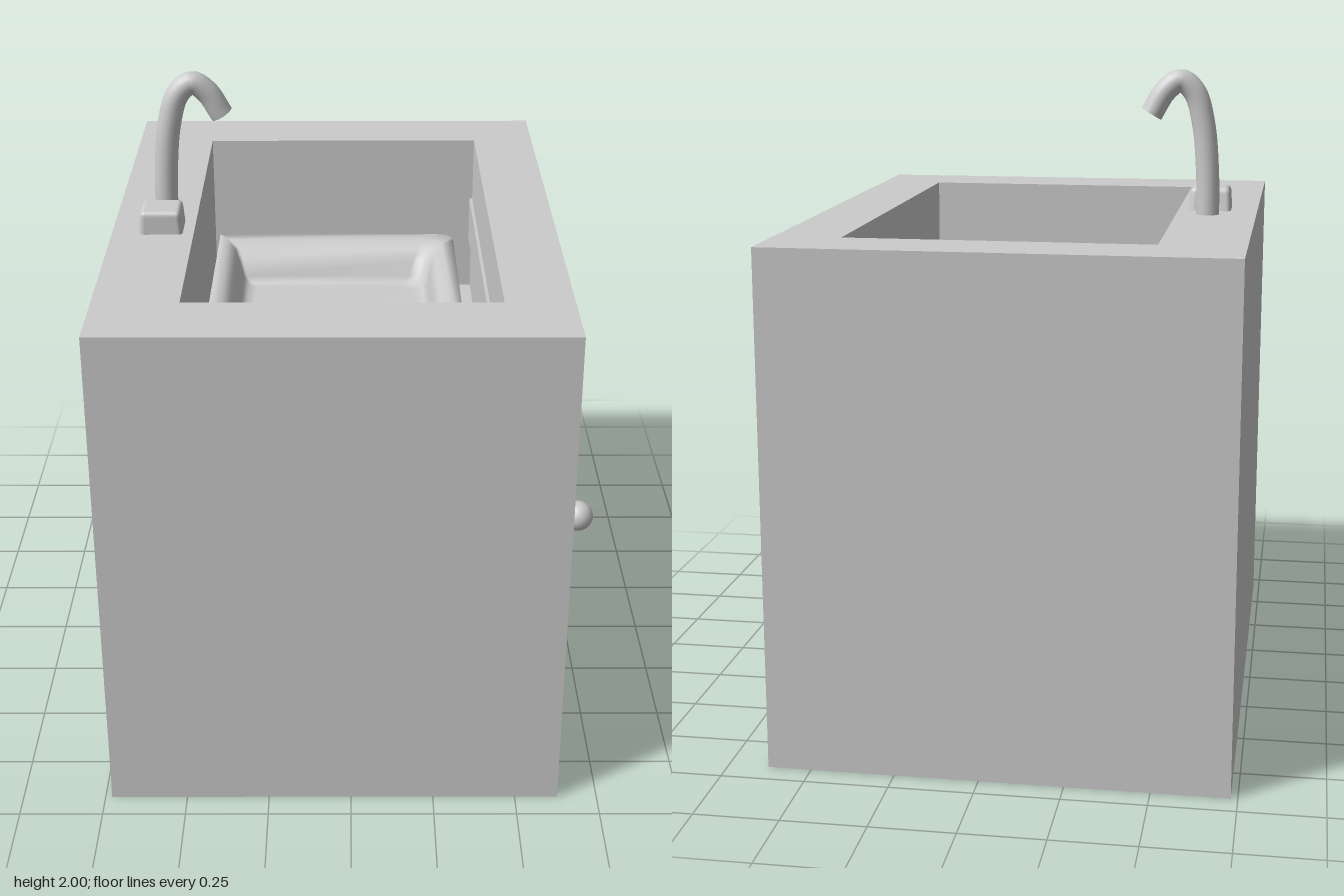
import * as THREE from 'three';
import { RoundedBoxGeometry } from 'three/addons/geometries/RoundedBoxGeometry.js';

const grey = new THREE.MeshStandardMaterial({ color: 0xcccccc });
const thin = new THREE.MeshStandardMaterial({ color: 0xcccccc, side: THREE.DoubleSide });

export function createModel() {
  const model = new THREE.Group();
  const add = (name, geometry, material = grey) => {
    const mesh = new THREE.Mesh(geometry, material);
    mesh.name = name;
    model.add(mesh);
    return mesh;
  };
  // Box given by its limits on each axis
  const addBox = (name, x0, x1, y0, y1, z0, z1) =>
    add(name, new THREE.BoxGeometry(x1 - x0, y1 - y0, z1 - z0))
      .position.set((x0 + x1) / 2, (y0 + y1) / 2, (z0 + z1) / 2);

  // Cabinet: a block with a rectangular shaft running right through it
  const rect = (Type, x0, x1, z0, z1) => new Type([
    [x0, -z1], [x1, -z1], [x1, -z0], [x0, -z0],
  ].map(([x, y]) => new THREE.Vector2(x, y)));
  const outline = rect(THREE.Shape, -0.73, 0.63, -0.92, 0.92);
  outline.holes.push(rect(THREE.Path, -0.48, 0.43, -0.7, 0.69));
  const cabinet = new THREE.ExtrudeGeometry(outline, { depth: 1.55, bevelEnabled: false });
  add('cabinet', cabinet.rotateX(-Math.PI / 2));

  // Drawer front, and the door, which reaches back into the shaft
  addBox('drawer', 0.42, 0.64, 1.19, 1.335, -0.7, 0.725);
  addBox('door', 0.14, 0.633, 0.21, 1.01, -0.69, 0.73);
  add('doorKnob', new THREE.SphereGeometry(0.045, 24, 16)).position.set(0.68, 0.83, 0.64);

  // Basin and drain, lofted through rounded rectangles
  add('basin', loft([
    // x0, x1, z0, z1, y, left corner radius, right corner radius
    [-0.46, 0.36, -0.65, 0.69, 1.19, 0.003, 0.05],
    [-0.46, 0.36, -0.65, 0.69, 1.22, 0.003, 0.05],
    [-0.43, 0.32, -0.6, 0.64, 1.22, 0.005, 0.06],
    [-0.4, 0.29, -0.56, 0.6, 1.205, 0.01, 0.06],
    [-0.385, 0.275, -0.525, 0.565, 1.17, 0.01, 0.06],
    [-0.37, 0.265, -0.51, 0.55, 1.12, 0.01, 0.06],
    [-0.355, 0.25, -0.495, 0.535, 1.1, 0.01, 0.06],
    [-0.33, 0.22, -0.47, 0.5, 1.095, 0.01, 0.06],
    [-0.17, 0.045, -0.115, 0.03, 1.095, 0.03, 0.03],
    [-0.16, 0.035, -0.1, 0.025, 1.08, 0.025, 0.025],
    [-0.155, 0.03, -0.09, 0.02, 1.055, 0.02, 0.02],
  ]), thin);

  // Tap: a curved spout with a closed end
  const path = new THREE.CatmullRomCurve3([
    [-0.578, 1.54, -0.025], [-0.576, 1.66, -0.025], [-0.56, 1.83, -0.025],
    [-0.53, 1.93, -0.027], [-0.487, 1.965, -0.031], [-0.442, 1.935, -0.037], [-0.398, 1.862, -0.043],
  ].map((p) => new THREE.Vector3(...p)));
  add('spout', new THREE.TubeGeometry(path, 40, 0.036, 20), thin);
  const cap = add('spoutEnd', new THREE.CircleGeometry(0.036, 20), thin);
  cap.position.copy(path.getPoint(1));
  cap.lookAt(path.getPoint(1).add(path.getTangent(1)));

  // Tap handle: a soft block, narrower and lower toward the back at its top
  const handle = new RoundedBoxGeometry(0.135, 0.09, 0.135, 3, 0.015);
  const pos = handle.attributes.position;
  for (let i = 0; i < pos.count; i++) {
    const up = pos.getY(i) / 0.09 + 0.5;
    const z = pos.getZ(i);
    pos.setX(i, pos.getX(i) * (1 - 0.1 * up));
    if (z < 0) pos.setZ(i, z * (1 - 0.25 * up));
  }
  handle.computeVertexNormals();
  add('tapHandle', handle).position.set(-0.58, 1.577, 0.112);

  return model;
}

// Skins a list of rounded rectangles from the first to the last and closes the last
function loft(rings) {
  const steps = 6, count = 4 * (steps + 1);
  const vertices = [], index = [];
  for (const [x0, x1, z0, z1, y, rl, rr] of rings) {
    const corners = [[x1, z1, rr, -1, -1], [x0, z1, rl, 1, -1], [x0, z0, rl, 1, 1], [x1, z0, rr, -1, 1]];
    corners.forEach(([x, z, r, sx, sz], c) => {
      for (let s = 0; s <= steps; s++) {
        const a = (c + s / steps) * Math.PI / 2;
        vertices.push(x + sx * r + r * Math.cos(a), y, z + sz * r + r * Math.sin(a));
      }
    });
  }
  for (let k = 0; k < rings.length - 1; k++) {
    for (let i = 0; i < count; i++) {
      const a = k * count + i, b = k * count + (i + 1) % count;
      index.push(a, b, a + count, b, b + count, a + count);
    }
  }
  // Floor fan
  const [x0, x1, z0, z1, y] = rings[rings.length - 1];
  const centre = vertices.length / 3, last = centre - count;
  vertices.push((x0 + x1) / 2, y, (z0 + z1) / 2);
  for (let i = 0; i < count; i++) index.push(last + i, last + (i + 1) % count, centre);
  // Wind every face so that it looks up and inward
  for (let i = 0; i < index.length; i += 3) [index[i + 1], index[i + 2]] = [index[i + 2], index[i + 1]];
  const geometry = new THREE.BufferGeometry();
  geometry.setAttribute('position', new THREE.Float32BufferAttribute(vertices, 3));
  geometry.setIndex(index);
  geometry.computeVertexNormals();
  return geometry;
}
